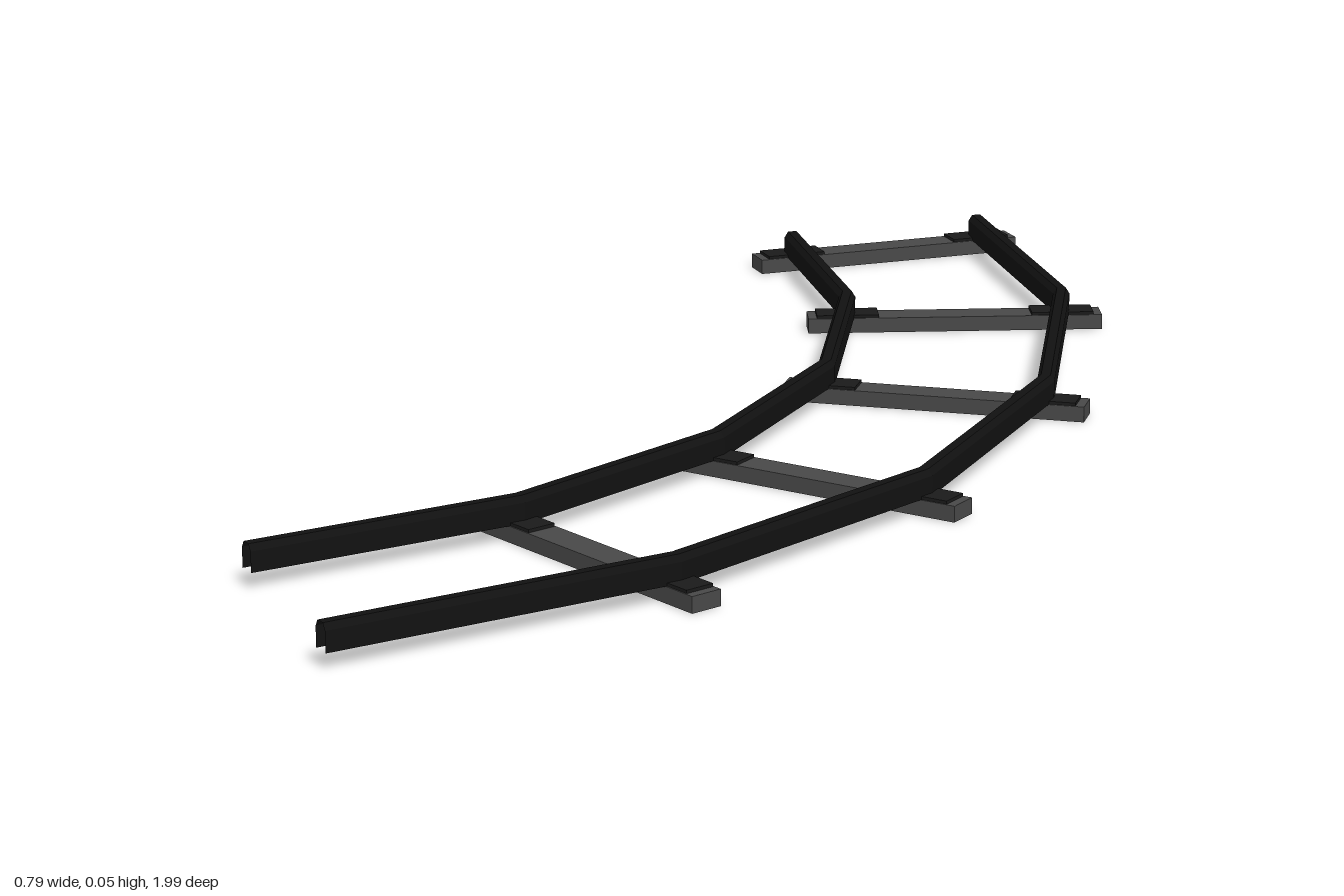
import * as THREE from 'three';

const railMat = new THREE.MeshStandardMaterial({ color: 0x111111, flatShading: true, side: THREE.DoubleSide });
const tieMat = new THREE.MeshStandardMaterial({ color: 0x484848 });
const plateMat = new THREE.MeshStandardMaterial({ color: 0x1a1a1a });

// Rail lines as [x, z] points, from the back end to the open front end
const INNER = [[-0.147, -0.785], [0.006, -0.48], [0.06, -0.14], [0.006, 0.2], [-0.147, 0.508], [-0.387, 0.757]];
const OUTER = [[0.086, -0.948], [0.283, -0.57], [0.345, -0.14], [0.283, 0.29], [0.086, 0.672], [-0.215, 0.99]];

// Rail cross-section [sideways, y]: a channel open below, with a chamfered top
const PROFILE = [[-0.011, 0.02], [-0.011, 0.045], [-0.006, 0.053], [0.006, 0.053], [0.011, 0.045], [0.011, 0.02]];

// Sweep the profile along the points with mitred joints
function makeRail(name, line) {
  const pts = line.map(([x, z]) => new THREE.Vector2(x, z));
  const n = PROFILE.length, pos = [], idx = [];
  pts.forEach((p, i) => {
    const before = pts[Math.max(i - 1, 0)], after = pts[Math.min(i + 1, pts.length - 1)];
    const a = (i ? p.clone().sub(before) : after.clone().sub(p)).normalize();
    const b = (after !== p ? after.clone().sub(p) : a.clone()).normalize();
    const dir = a.clone().add(b).normalize();
    const stretch = 1 / dir.dot(a);
    for (const [s, y] of PROFILE) pos.push(p.x - dir.y * s * stretch, y, p.y + dir.x * s * stretch);
  });
  for (let i = 0; i < pts.length - 1; i++) {
    for (let j = 0; j < n - 1; j++) {
      const a = i * n + j, b = a + 1, c = a + n, d = c + 1;
      idx.push(a, b, c, b, d, c);
    }
  }
  const indexed = new THREE.BufferGeometry();
  indexed.setAttribute('position', new THREE.Float32BufferAttribute(pos, 3));
  indexed.setIndex(idx);
  const geo = indexed.toNonIndexed();
  geo.computeVertexNormals();
  const mesh = new THREE.Mesh(geo, railMat);
  mesh.name = name;
  return mesh;
}

function box(name, w, h, d, x, y, mat) {
  const mesh = new THREE.Mesh(new THREE.BoxGeometry(w, h, d), mat);
  mesh.position.set(x, y, 0);
  mesh.name = name;
  return mesh;
}

// One crosspiece with a plate under each rail
function makeTie(i) {
  const [x0, z0] = INNER[i], [x1, z1] = OUTER[i];
  const span = Math.hypot(x1 - x0, z1 - z0);
  const tie = new THREE.Group();
  tie.name = 'tie' + (i + 1);
  tie.add(box('tieBeam', span + 0.107, 0.02, 0.041, 0, 0.01, tieMat));
  for (const side of [-1, 1]) {
    tie.add(box('railPlate', 0.084, 0.004, 0.038, side * span / 2, 0.022, plateMat));
  }
  tie.position.set((x0 + x1) / 2, 0, (z0 + z1) / 2);
  tie.rotation.y = -Math.atan2(z1 - z0, x1 - x0);
  return tie;
}

export function createModel() {
  const track = new THREE.Group();
  track.name = 'curvedTrack';
  track.add(makeRail('innerRail', INNER), makeRail('outerRail', OUTER));
  for (let i = 0; i < 5; i++) track.add(makeTie(i));
  return track;
}
